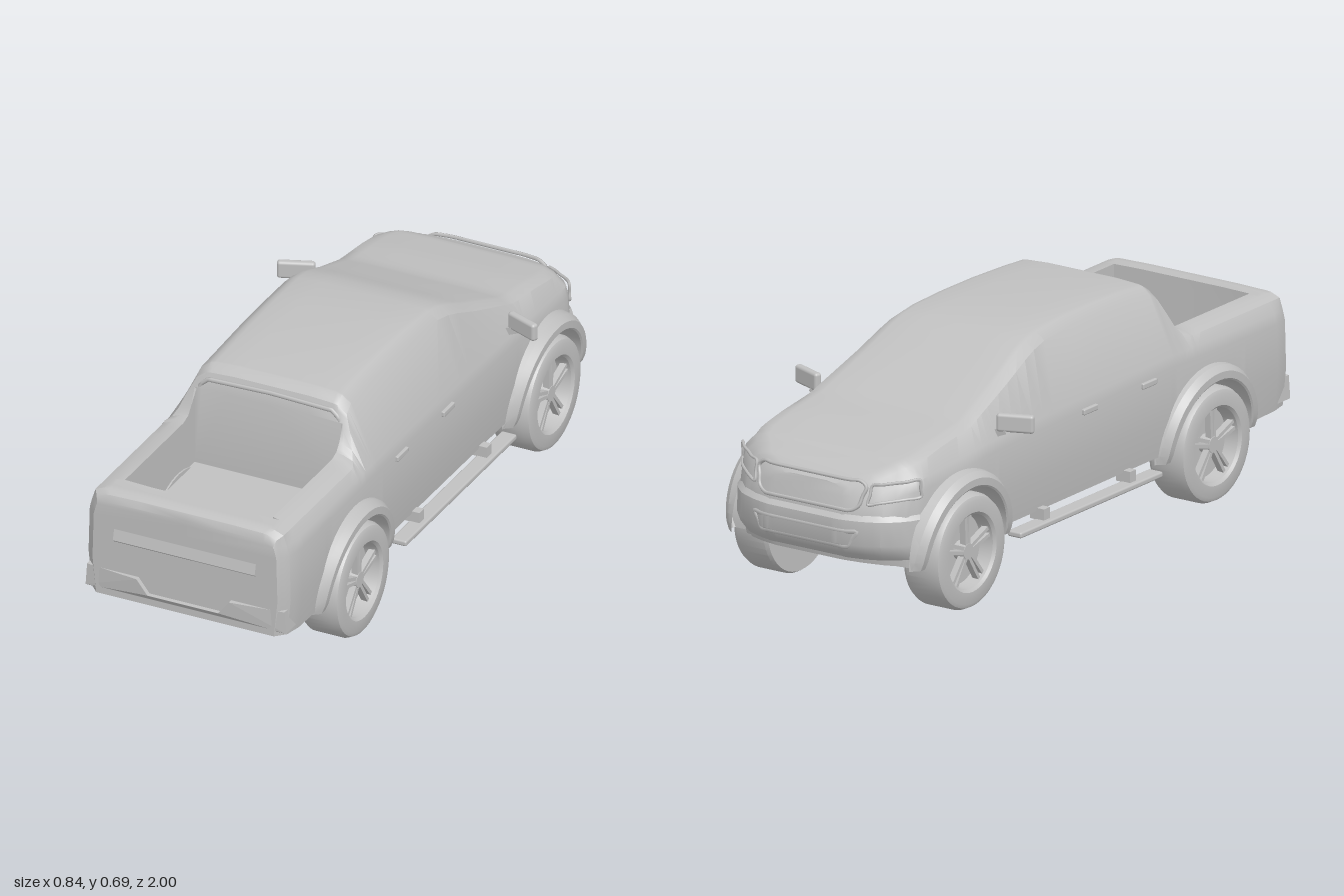
import * as THREE from 'three';
import { toCreasedNormals } from 'three/addons/utils/BufferGeometryUtils.js';
import { RoundedBoxGeometry } from 'three/addons/geometries/RoundedBoxGeometry.js';

const grey = new THREE.MeshStandardMaterial({ color: 0xc0c0c0, side: THREE.DoubleSide });
grey.name = 'plain grey';

const V = (x, y, z) => new THREE.Vector3(x, y, z);

// Piecewise linear interpolation through [position, value] keys
function key(t, keys) {
  if (t <= keys[0][0]) return keys[0][1];
  for (let i = 1; i < keys.length; i++) {
    const [a, va] = keys[i - 1], [b, vb] = keys[i];
    if (t <= b) return va + (vb - va) * (t - a) / (b - a);
  }
  return keys[keys.length - 1][1];
}

// Skin over rows of points
function surface(rows, crease = 0.55) {
  const n = rows[0].length, pos = [], idx = [];
  rows.forEach(r => r.forEach(p => pos.push(p.x, p.y, p.z)));
  for (let i = 0; i < rows.length - 1; i++) for (let j = 0; j < n - 1; j++) {
    const a = i * n + j, b = a + n;
    idx.push(a, a + 1, b, b, a + 1, b + 1);
  }
  const g = new THREE.BufferGeometry();
  g.setAttribute('position', new THREE.Float32BufferAttribute(pos, 3));
  g.setIndex(idx);
  return toCreasedNormals(g, crease);
}

function add(parent, name, geo, x = 0, y = 0, z = 0) {
  const m = new THREE.Mesh(geo, grey);
  m.name = name;
  m.position.set(x, y, z);
  parent.add(m);
  return m;
}

const AXLES = [-0.665, 0.56], WY = 0.175, ARCH = 0.2, BED = [0.4495, 0.8955];
const WIDTH = [[-0.99, 0.13], [-0.975, 0.19], [-0.95, 0.245], [-0.9, 0.295], [-0.84, 0.322], [-0.6, 0.335],
  [0.9, 0.338], [0.955, 0.328], [0.985, 0.3]];
const TOP = [[-0.99, 0.415], [-0.96, 0.443], [-0.9, 0.468], [-0.7, 0.508], [-0.56, 0.527], [-0.35, 0.612], [-0.25, 0.658],
  [-0.2, 0.676], [-0.14, 0.688], [0, 0.695], [0.15, 0.695], [0.3, 0.69], [0.4, 0.682], [0.43, 0.662], [0.45, 0.61],
  [0.47, 0.56], [0.49, 0.535], [0.52, 0.525], [0.955, 0.525], [0.975, 0.515], [0.985, 0.495]];
const BELT = [[-0.99, 0.38], [-0.9, 0.425], [-0.55, 0.46], [0.35, 0.485], [0.985, 0.475]];
const ROOF = [[-0.99, 0.12], [-0.95, 0.215], [-0.9, 0.25], [-0.8, 0.285], [-0.55, 0.283], [-0.3, 0.262], [-0.1, 0.245],
  [0.3, 0.24], [0.43, 0.243], [0.46, 0.275], [0.51, 0.305], [0.955, 0.305], [0.985, 0.285]];
const FLOOR = [[-0.99, 0.185], [-0.88, 0.165], [-0.45, 0.19], [0.3, 0.195], [0.74, 0.178], [0.985, 0.185]];
const BED_FLOOR = 0.36;

// Lean of the nose above and below the bumper line
const lean = (y, z) => z < -0.85
  ? (0.28 * Math.max(0, y - 0.31) + 0.5 * Math.max(0, 0.24 - y)) * Math.min(1, (-0.85 - z) / 0.08) : 0;

// Half cross-section from underside centre to top centre
function section(z) {
  const W = key(z, WIDTH), T = key(z, TOP), R = key(z, ROOF), yb = key(z, FLOOR), belt = key(z, BELT);
  let arch = yb;
  for (const c of AXLES) {
    const d = ARCH * ARCH - (z - c) ** 2;
    if (d > 0) arch = Math.max(arch, WY + Math.sqrt(d));
  }
  const inner = Math.min(0.235, W - 0.02);
  const mid = Math.max(0.3, arch + 0.012);
  const drop = key(T, [[0.415, 0.014], [0.53, 0.016], [0.66, 0.03]]);
  const pts = [[0, yb], [inner, yb], [inner, arch], [W - 0.012, arch], [W, mid], [W - 0.004, Math.max(mid + 0.005, belt - 0.03)],
    [W - 0.012, belt], [R, T - drop], [R - 0.03, T - drop * 0.25]];
  if (z >= BED[0] && z <= BED[1]) pts.push([0.24, T], [0.24, BED_FLOOR], [0, BED_FLOOR]);
  else pts.push([R - 0.045, T - drop * 0.15], [R * 0.5, T], [0, T]);
  const half = pts.map(([x, y]) => V(x, y, z + lean(y, z)));
  const other = half.slice(0, -1).reverse().map(p => V(-p.x, p.y, p.z));
  return half.concat(other);
}

function bodyGeometry() {
  const zs = [-0.99, -0.983, -0.975, -0.963, -0.95, -0.925, -0.9, -0.87, -0.4, -0.35, -0.3, -0.25, -0.2, -0.14, 0, 0.15, 0.3,
    0.4, 0.43, 0.436, 0.45, 0.47, 0.49, 0.51, 0.895, 0.9, 0.935, 0.955, 0.967, 0.975, 0.985];
  for (const c of AXLES) for (let k = 0; k <= 16; k++) zs.push(c + ARCH * Math.cos(k * Math.PI / 16));
  const rows = [...new Set(zs)].sort((a, b) => a - b).map(section);
  // Close both ends
  const flat = r => r.map(p => V(0, p.y, p.z));
  return surface([flat(rows[0]), ...rows, flat(rows[rows.length - 1])]);
}

// Point on the curved nose
function nose(x, y, out = 0) {
  const a = Math.abs(x);
  const z = key(a, [[0, -0.99], [0.13, -0.99], [0.19, -0.975], [0.245, -0.95], [0.295, -0.9], [0.322, -0.84]]);
  const side = key(a, [[0.13, 0], [0.3, 0.8]]);
  return V(x + Math.sign(x) * out * side, y, z + lean(y, z) - out * (1 - side * 0.7));
}

// Raised outline following the nose
function noseFrame(parent, name, corners, r = 0.006) {
  const pts = [];
  corners.forEach(([x, y], i) => {
    const [u, v] = corners[(i + 1) % corners.length];
    const n = Math.max(1, Math.ceil(Math.hypot(u - x, v - y) / 0.03));
    for (let k = 0; k < n; k++) pts.push(nose(x + (u - x) * k / n, y + (v - y) * k / n));
  });
  add(parent, name, new THREE.TubeGeometry(new THREE.CatmullRomCurve3(pts, true), 120, r, 5, true));
}

function wheel() {
  const g = new THREE.Group();
  const profile = [[0, -0.063], [0.168, -0.063], [0.174, -0.052], [0.174, 0.04], [0.166, 0.057], [0.155, 0.062], [0.12, 0.062],
    [0.112, 0.054], [0.106, 0.012], [0, 0.012]].map(([r, y]) => new THREE.Vector2(r, y));
  add(g, 'tyre', toCreasedNormals(new THREE.LatheGeometry(profile, 48), 0.5)).rotation.z = -Math.PI / 2;
  add(g, 'hub', new THREE.CylinderGeometry(0.024, 0.028, 0.035, 20), 0.03).rotation.z = -Math.PI / 2;
  for (let i = 0; i < 5; i++) for (const s of [-1, 1]) {
    const bar = new THREE.BoxGeometry(0.02, 0.1, 0.011);
    bar.translate(0.036, 0.062, 0);
    bar.rotateX(s * 0.06);
    bar.translate(0, 0, s * 0.005);
    bar.rotateX(i * Math.PI * 0.4);
    add(g, 'spoke', bar);
  }
  return g;
}

// Wheel arch lip, swept round the wheel
function flareGeometry(c, s) {
  const rows = [];
  for (let i = 0; i <= 28; i++) {
    const a = -0.02 + (Math.PI + 0.04) * i / 28;
    const x = 0.34 + 0.033 * Math.sqrt(Math.max(0, Math.sin(a)));
    rows.push([[0.195, 0.3], [0.195, x - 0.004], [0.2, x], [0.222, x], [0.238, x - 0.02], [0.245, 0.315]]
      .map(([r, px]) => V(s * px, WY + r * Math.sin(a), c + r * Math.cos(a))));
  }
  return surface(rows, 0.4);
}

export function createModel() {
  const truck = new THREE.Group();
  truck.name = 'pickupTruck';
  add(truck, 'body', bodyGeometry());
  add(truck, 'underbody', new THREE.BoxGeometry(0.46, 0.04, 1.1), 0, 0.178, -0.05);

  // Front bumper wrapped round the nose
  const rows = [];
  for (let i = 0; i <= 32; i++) {
    const x = -0.322 + 0.644 * i / 32;
    rows.push([[-0.004, 0.335], [0.009, 0.318], [0.01, 0.245], [0.006, 0.215], [-0.004, 0.195]].map(([o, y]) => nose(x, y, o)));
  }
  add(truck, 'frontBumper', surface(rows));

  // Nose outlines
  noseFrame(truck, 'grilleFrame', [[-0.17, 0.43], [0.17, 0.43], [0.19, 0.415], [0.175, 0.36], [0.15, 0.345], [-0.15, 0.345],
    [-0.175, 0.36], [-0.19, 0.415]]);
  noseFrame(truck, 'lowerIntake', [[-0.18, 0.285], [0.18, 0.285], [0.15, 0.24], [-0.15, 0.24]], 0.011);
  for (const s of [-1, 1])
    noseFrame(truck, 'headlight', [[s * 0.205, 0.42], [s * 0.315, 0.435], [s * 0.317, 0.385], [s * 0.2, 0.365]], 0.005);

  // Rear bumper with a step notch
  const b = new THREE.Shape([[-0.32, 0.27], [-0.15, 0.27], [-0.115, 0.225], [0.115, 0.225], [0.15, 0.27], [0.32, 0.27],
    [0.325, 0.2], [-0.325, 0.2]].map(p => new THREE.Vector2(...p)));
  const bumper = new THREE.ExtrudeGeometry(b, { depth: 0.065, bevelEnabled: false });
  // Sweep the bumper ends forward
  const bp = bumper.attributes.position;
  for (let i = 0; i < bp.count; i++) if (Math.abs(bp.getX(i)) > 0.3) bp.setZ(i, bp.getZ(i) - 0.02);
  bumper.computeVertexNormals();
  add(truck, 'rearBumper', bumper, 0, 0, 0.935);

  // Tailgate moulding
  add(truck, 'tailgateMoulding', surface([-0.23, 0.23].map(x =>
    [V(x, 0.41, 0.985), V(x, 0.376, 0.993), V(x, 0.368, 0.984)]), 0.2));

  // Rear window surround
  const frame = [[-0.262, 0.525], [-0.222, 0.622], [-0.2, 0.64], [0, 0.646], [0.2, 0.64], [0.222, 0.622], [0.262, 0.525]];
  const path = new THREE.CurvePath();
  for (let i = 1; i < frame.length; i++) {
    const p = ([x, y]) => V(x, y, 0.447 - (y - 0.525) * 0.06);
    path.add(new THREE.LineCurve3(p(frame[i - 1]), p(frame[i])));
  }
  add(truck, 'rearWindowFrame', new THREE.TubeGeometry(path, 60, 0.007, 6));

  for (const s of [-1, 1]) {
    for (const c of AXLES) {
      const w = wheel();
      w.name = c < 0 ? 'frontWheel' : 'rearWheel';
      w.position.set(s * 0.305, WY, c);
      if (s < 0) w.rotation.y = Math.PI;
      truck.add(w);
      add(truck, 'wheelArch', flareGeometry(c, s));
    }
    // Side step and its brackets
    add(truck, 'sideStep', new RoundedBoxGeometry(0.05, 0.018, 0.71, 2, 0.006), s * 0.34, 0.159, -0.065);
    for (const z of [0.16, -0.27]) add(truck, 'stepBracket', new THREE.BoxGeometry(0.05, 0.035, 0.03), s * 0.325, 0.184, z);
    // Door handles
    for (const z of [0.26, -0.035]) add(truck, 'doorHandle', new RoundedBoxGeometry(0.014, 0.018, 0.07, 2, 0.004), s * 0.335, 0.437, z);
    // Door mirror
    add(truck, 'mirror', new RoundedBoxGeometry(0.112, 0.055, 0.024, 3, 0.009), s * 0.368, 0.512, -0.452).rotation.y = -s * 0.38;
    add(truck, 'mirrorArm', new THREE.BoxGeometry(0.045, 0.022, 0.018), s * 0.325, 0.482, -0.465).rotation.z = s * 0.4;
  }
  return truck;
}
